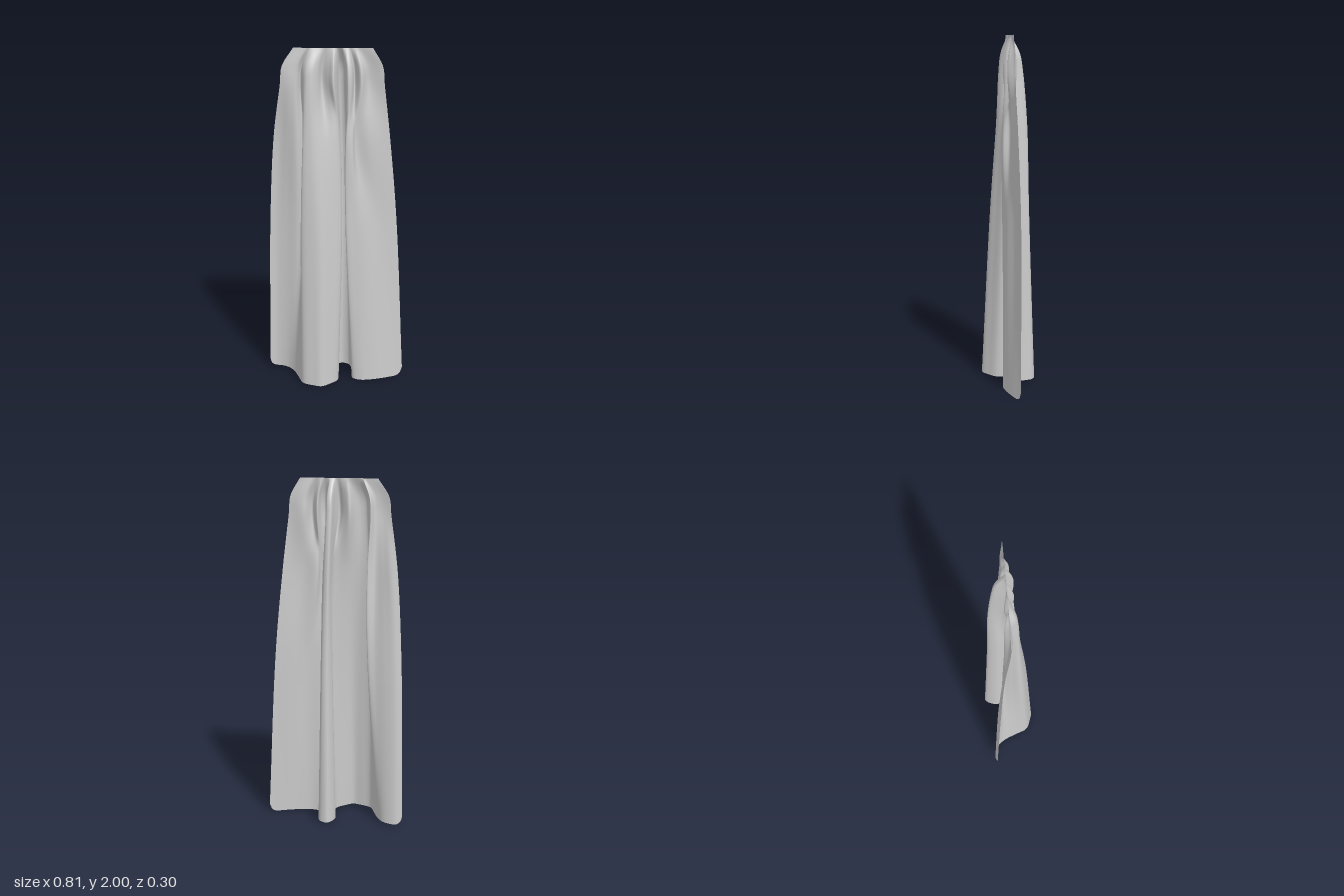
import * as THREE from 'three';

// Cross-sections of the cloth as [x, z] points, from its right edge to its left edge
const hem = [
  [-.405, -.10], [-.37, -.112], [-.33, -.106], [-.29, -.085], [-.255, -.04], [-.225, .03], [-.19, .11],
  [-.13, .137], [-.08, .148], [-.03, .115], [.012, .07], [.018, 0], [-.005, -.08], [.03, -.15],
  [.075, -.135], [.095, -.085], [.098, -.03], [.103, .025], [.15, .045], [.22, .038], [.31, .01], [.405, -.03],
];
const middle = [
  [-.382, -.07], [-.345, -.08], [-.29, -.07], [-.23, -.05], [-.185, -.045], [-.19, 0], [-.195, .06],
  [-.13, .09], [-.08, .093], [-.03, .068], [.03, .03], [.037, -.01], [.015, -.06], [.035, -.115],
  [.065, -.11], [.08, -.06], [.065, -.01], [.06, .037], [.11, .035], [.17, .022], [.25, -.012], [.352, -.035],
];
const upper = [
  [-.35, -.045], [-.31, -.045], [-.27, -.03], [-.22, -.015], [-.18, -.035], [-.182, .005], [-.18, .042],
  [-.14, .055], [-.10, .05], [-.05, .03], [.01, .01], [.026, -.03], [.02, -.06], [.03, -.105],
  [.055, -.095], [.07, -.04], [.055, 0], [.06, .038], [.095, .032], [.11, 0], [.19, .004], [.305, -.022],
];
const pleats = [
  [-.307, -.01], [-.28, -.002], [-.25, .002], [-.215, -.005], [-.195, -.035], [-.185, 0], [-.165, .035],
  [-.13, .038], [-.10, .015], [-.075, -.025], [-.04, 0], [-.012, .03], [.005, -.01], [.02, -.08],
  [.045, -.075], [.055, 0], [.07, .035], [.09, .022], [.105, -.03], [.14, .018], [.18, -.025], [.27, -.01],
];
// The gathers tighten and flatten toward the straight top seam
const gather = (sx, sz, dz) => pleats.map(([x, z]) => [x * sx, z * sz + dz]);
const sections = [
  [0, hem], [1, middle], [1.5, upper], [1.8, pleats],
  [1.9, gather(.96, .75, -.002)], [2, gather(.755, 0, -.01)],
];

function clothGeometry(rows = 60, perSpan = 8) {
  const spans = hem.length - 1;
  const cols = spans * perSpan;
  // One smooth vertical line through every section point
  const verticals = hem.map((_, k) => new THREE.CatmullRomCurve3(
    sections.map(([y, s]) => new THREE.Vector3(s[k][0], y, s[k][1])), false, 'centripetal'));
  const positions = [];
  const index = [];
  const radius = .05;
  for (let r = 0; r <= rows; r++) {
    const across = new THREE.CatmullRomCurve3(
      verticals.map((c) => c.getPoint(r / rows)), false, 'centripetal');
    for (let c = 0; c <= cols; c++) {
      const p = across.getPoint(c / cols);
      // Round the two lower corners and lift the right part of the hem slightly
      const d = Math.min(c / perSpan * .038, (cols - c) / perSpan * .1);
      const inset = Math.max(0, radius - d);
      let lift = radius - Math.sqrt(radius * radius - inset * inset);
      lift += .01 * (1 - THREE.MathUtils.smoothstep(c / cols, .72, .86));
      p.y += lift * Math.max(0, 1 - p.y);
      positions.push(p.x, p.y, p.z);
      if (r < rows && c < cols) {
        const a = r * (cols + 1) + c;
        const b = a + cols + 1;
        index.push(a, a + 1, b, a + 1, b + 1, b);
      }
    }
  }
  const geometry = new THREE.BufferGeometry();
  geometry.setAttribute('position', new THREE.Float32BufferAttribute(positions, 3));
  geometry.setIndex(index);
  geometry.computeVertexNormals();
  return geometry;
}

export function createModel() {
  const model = new THREE.Group();
  model.name = 'drapedCape';
  const material = new THREE.MeshStandardMaterial({ color: 0xcccccc, side: THREE.DoubleSide });
  const cloth = new THREE.Mesh(clothGeometry(), material);
  cloth.name = 'cloth';
  model.add(cloth);
  return model;
}
